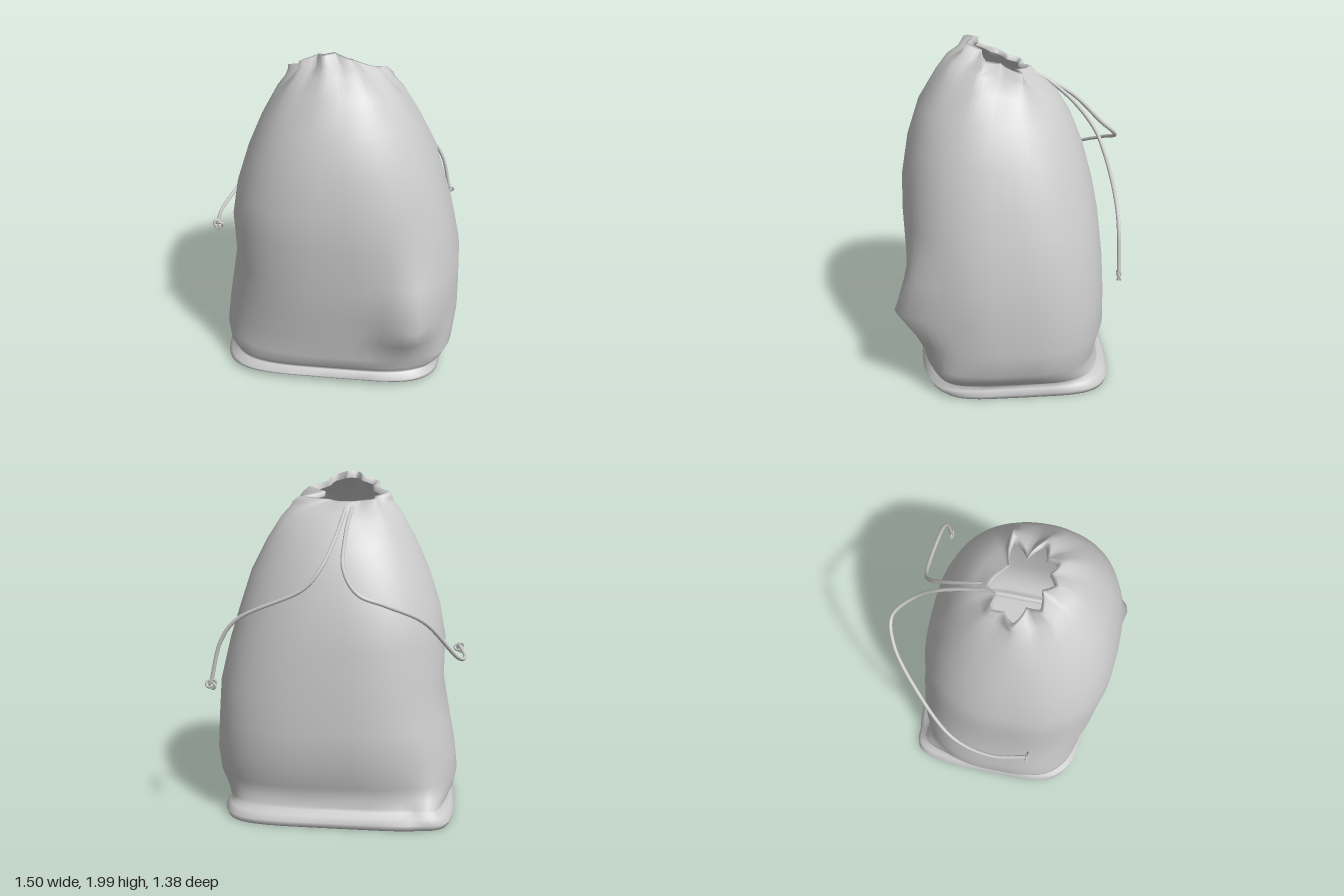
import * as THREE from 'three';

const N = 72; // points around each ring
const MOUTH = 1.87; // mean height of the mouth

// Bag rings from base to mouth: [y, x min, x max, z min, z max]
const RINGS = [
  [0.015, -0.65, 0.62, -0.56, 0.45],
  [0, -0.68, 0.65, -0.595, 0.485],
  [0.03, -0.69, 0.665, -0.6, 0.52],
  [0.06, -0.665, 0.65, -0.575, 0.545],
  [0.08, -0.645, 0.64, -0.535, 0.5],
  [0.1, -0.655, 0.66, -0.54, 0.505],
  [0.14, -0.685, 0.69, -0.52, 0.535],
  [0.21, -0.705, 0.735, -0.535, 0.55],
  [0.35, -0.69, 0.75, -0.575, 0.56],
  [0.53, -0.655, 0.745, -0.57, 0.595],
  [0.75, -0.615, 0.735, -0.555, 0.615],
  [1, -0.62, 0.68, -0.53, 0.625],
  [1.19, -0.585, 0.625, -0.495, 0.62],
  [1.4, -0.515, 0.56, -0.44, 0.58],
  [1.59, -0.43, 0.465, -0.37, 0.51],
  [1.74, -0.34, 0.365, -0.29, 0.405],
  [1.815, -0.27, 0.27, -0.22, 0.335],
  [1.85, -0.24, 0.22, -0.18, 0.27],
  [1.89, -0.225, 0.165, -0.155, 0.235],
  [1.895, -0.205, 0.145, -0.135, 0.215],
  [1.86, -0.2, 0.14, -0.13, 0.21],
];

// Gathered mouth: relative radius every 20 degrees
const PLEATS = [0.14, 0.25, 0.16, 0.2, 0.14, 0.18, 0.13, 0.2, 0.15, 0.23, 0.17, 0.2, 0.13, 0.17, 0.15, 0.13, 0.13, 0.28];

function pleat(j) {
  const t = (j / N) * PLEATS.length, i = Math.floor(t);
  return THREE.MathUtils.lerp(PLEATS[i], PLEATS[(i + 1) % PLEATS.length], t - i) / 0.175;
}

// Cloth corners that poke out
const bump = (at, by, reach) => ({ at: new THREE.Vector3(...at), by: new THREE.Vector3(...by), reach });
const BUMPS = [
  bump([0.5, 0.53, 0.53], [0.01, 0, 0.16], 0.3),
  bump([0.68, 0.2, 0.4], [0.02, 0, 0.03], 0.2),
  bump([-0.58, 0.1, -0.48], [-0.02, 0, -0.07], 0.15),
];

// Rings go from squarish and level at the base to round, pleated and tilted at the mouth
function ringPoint([y, x0, x1, z0, z1], j) {
  const a = (j / N) * Math.PI * 2, h = y / MOUTH;
  const squareness = 2.9 - 0.9 * h ** 1.5 + 2 * Math.exp(-((y / 0.13) ** 2));
  const amount = Math.min(1, h ** 36);
  const bend = (v) => Math.sign(v) * Math.abs(v) ** (2 / squareness);
  const u = bend(Math.cos(a)), w = bend(Math.sin(a));
  const f = THREE.MathUtils.lerp(1, pleat(j), amount);
  const p = new THREE.Vector3(
    (x0 + x1) / 2 + ((x1 - x0) / 2) * u * f,
    y + 0.085 * h ** 4.8 * w - 0.035 * amount * u * u,
    (z0 + z1) / 2 + ((z1 - z0) / 2) * w * f
  );
  const move = new THREE.Vector3();
  for (const b of BUMPS) {
    move.addScaledVector(b.by, Math.max(0, 1 - p.distanceTo(b.at) / b.reach));
  }
  return p.add(move);
}

function createBody() {
  const pos = [], index = [];
  RINGS.forEach((ring, i) => {
    for (let j = 0; j < N; j++) {
      pos.push(...ringPoint(ring, j).toArray());
      if (i === RINGS.length - 1) continue;
      const a = i * N + j, b = i * N + ((j + 1) % N);
      index.push(a, a + N, b, b, a + N, b + N);
    }
  });
  const geo = new THREE.BufferGeometry();
  geo.setAttribute('position', new THREE.Float32BufferAttribute(pos, 3));
  geo.setIndex(index);
  geo.computeVertexNormals();
  return geo;
}

function createFloor() {
  const pts = [];
  for (let j = 0; j < N; j++) {
    const p = ringPoint(RINGS[0], j);
    pts.push(new THREE.Vector2(p.x, p.z));
  }
  return new THREE.ShapeGeometry(new THREE.Shape(pts)).rotateX(Math.PI / 2).translate(0, RINGS[0][0], 0);
}

// Paths of the two drawstring ends, from the back of the mouth to the knot
const RIGHT_CORD = [
  [-0.07, 1.78, -0.13], [-0.06, 1.62, -0.4], [-0.07, 1.45, -0.57], [-0.16, 1.33, -0.685],
  [-0.3, 1.27, -0.645], [-0.5, 1.16, -0.48], [-0.69, 0.92, -0.23], [-0.74, 0.88, 0], [-0.71, 0.91, 0.22],
];
const LEFT_CORD = [
  [-0.035, 1.78, -0.13], [-0.03, 1.73, -0.23], [0, 1.6, -0.39], [0.06, 1.45, -0.51],
  [0.15, 1.34, -0.555], [0.52, 1.17, -0.563], [0.61, 1.05, -0.564], [0.67, 0.82, -0.565],
];

function createCord(name, path) {
  const cord = new THREE.Group();
  cord.name = name;
  const material = new THREE.MeshStandardMaterial({ color: 0xcccccc });
  const curve = new THREE.CatmullRomCurve3(path.map((p) => new THREE.Vector3(...p)));
  const string = new THREE.Mesh(new THREE.TubeGeometry(curve, 90, 0.011, 8), material);
  string.name = 'string';
  const knot = new THREE.Mesh(new THREE.TorusKnotGeometry(0.019, 0.008, 60, 6), material);
  knot.name = 'knot';
  knot.position.copy(curve.getPoint(1));
  knot.position.y -= 0.015;
  knot.scale.z = 0.7;
  cord.add(string, knot);
  return cord;
}

export function createModel() {
  const group = new THREE.Group();
  const cloth = new THREE.MeshStandardMaterial({ color: 0xcccccc, side: THREE.DoubleSide });
  const body = new THREE.Mesh(createBody(), cloth);
  body.name = 'bagBody';
  const floor = new THREE.Mesh(createFloor(), cloth);
  floor.name = 'bagFloor';
  group.add(body, floor, createCord('rightCord', RIGHT_CORD), createCord('leftCord', LEFT_CORD));
  return group;
}
